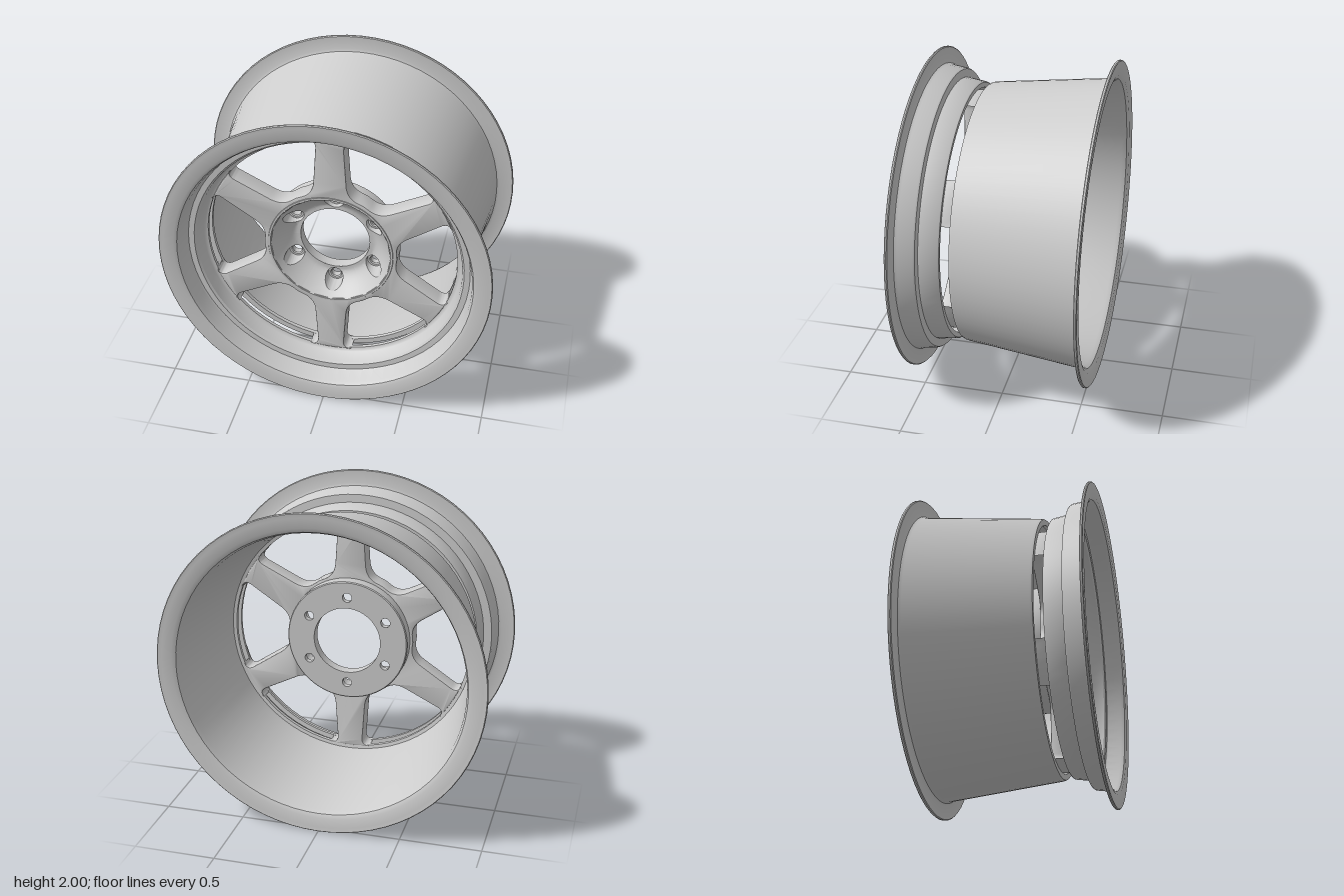
import * as THREE from 'three';
import { toCreasedNormals } from 'three/addons/utils/BufferGeometryUtils.js';
import { ParametricGeometry } from 'three/addons/geometries/ParametricGeometry.js';

const SPOKES = 6, SEG = 72;
const BORE = 0.215, BOWL = 0.37, HUB = 0.388, BOLT_CIRCLE = 0.285;
const HUB_BACK = 0.12, POCKET_FLOOR = 0.165;
const material = new THREE.MeshStandardMaterial({ color: 0xcccccc, side: THREE.DoubleSide });

function add(parent, name, geometry, crease = 0.6) {
  const mesh = new THREE.Mesh(toCreasedNormals(geometry, crease), material);
  mesh.name = name;
  parent.add(mesh);
  return mesh;
}

// Surface of revolution about z from [radius, z] points
function turned(points, seg = SEG) {
  return new THREE.LatheGeometry(points.map(([r, z]) => new THREE.Vector2(r, z)), seg).rotateX(Math.PI / 2);
}

const rad = THREE.MathUtils.degToRad;
const polar = (r, deg) => new THREE.Vector2(r * Math.cos(rad(deg)), r * Math.sin(rad(deg)));

// Star outline: spokes with filleted roots and flared tips
function spokeShape() {
  const shape = new THREE.Shape();
  const toward = (a, b, d) => a.clone().add(b.clone().sub(a).setLength(d));
  const tip = 0.768;
  for (let k = 0; k < SPOKES; k++) {
    const a = 90 + k * 360 / SPOKES;
    const side = s => ({
      mid: polar(0.408, a + s * 30), root: polar(0.412, a + s * 14.5),
      end: polar(tip, a + s * 6), flare: polar(tip, a + s * 10),
    });
    const R = side(-1), L = side(1);
    const line = p => shape.lineTo(p.x, p.y);
    const bend = (c, p) => shape.quadraticCurveTo(c.x, c.y, p.x, p.y);
    if (k === 0) shape.moveTo(R.mid.x, R.mid.y); else line(R.mid);
    line(toward(R.root, R.mid, 0.07));
    bend(R.root, toward(R.root, R.end, 0.08));
    line(toward(R.end, R.root, 0.055));
    bend(R.end, R.flare);
    for (let d = -6; d <= 6; d += 4) line(polar(tip, a + d));
    line(L.flare);
    bend(L.end, toward(L.end, L.root, 0.055));
    line(toward(L.root, L.end, 0.08));
    bend(L.root, toward(L.root, L.mid, 0.07));
  }
  shape.closePath();
  shape.holes.push(new THREE.Path().absarc(0, 0, 0.365, 0, Math.PI * 2, true));
  return shape;
}

// Depth of the dished hub face at a radius
function bowlZ(r) {
  const t = THREE.MathUtils.clamp((r - 0.24) / (BOWL - 0.24), 0, 1);
  return 0.19 + 0.135 * Math.pow(t, 1.5);
}

// One sixth of the dished face, blended from a round pocket edge to the sector border
function dishSector(u, v, target) {
  const phi = u * Math.PI * 2, c = Math.cos(phi), s = Math.sin(phi);
  const m = Math.max(Math.abs(c), Math.abs(s));
  const px = BOLT_CIRCLE + 0.055 * c, py = 0.055 * s;
  const borderR = (BORE + BOWL) / 2 + (c / m) * (BOWL - BORE) / 2;
  const r = THREE.MathUtils.lerp(Math.hypot(px, py), borderR, v);
  const th = THREE.MathUtils.lerp(Math.atan2(py, px), (s / m) * Math.PI / SPOKES, v);
  target.set(r * Math.cos(th), r * Math.sin(th), bowlZ(r));
}

// Pocket wall dropping from the dished face to the flat seat
function pocketWall(u, v, target) {
  const phi = u * Math.PI * 2;
  const rr = THREE.MathUtils.lerp(0.055, 0.048, v);
  const x = BOLT_CIRCLE + rr * Math.cos(phi), y = rr * Math.sin(phi);
  const top = bowlZ(Math.hypot(BOLT_CIRCLE + 0.055 * Math.cos(phi), 0.055 * Math.sin(phi)));
  target.set(x, y, THREE.MathUtils.lerp(top, POCKET_FLOOR, v));
}

export function createModel() {
  const wheel = new THREE.Group();
  wheel.name = 'wheel';
  const body = new THREE.Group();
  body.name = 'wheelBody';
  body.position.y = 1;
  wheel.add(body);

  // Stepped front rim with its flange
  add(body, 'frontRim', turned([
    [0.766, 0.29], [0.797, 0.288], [0.803, 0.295], [0.82, 0.405], [0.87, 0.408], [0.877, 0.418],
    [0.89, 0.505], [0.898, 0.522], [0.915, 0.528], [0.995, 0.527], [1, 0.532], [1, 0.54],
    [0.995, 0.545], [0.975, 0.543], [0.91, 0.541], [0.89, 0.532], [0.878, 0.51], [0.862, 0.425],
    [0.855, 0.418], [0.82, 0.416], [0.808, 0.405], [0.79, 0.325], [0.78, 0.315], [0.766, 0.312],
    [0.766, 0.29],
  ]));

  // Tapered rear barrel with its flange
  add(body, 'rearBarrel', turned([
    [0.766, 0.23], [0.766, 0.205], [0.788, 0.2], [0.872, -0.495], [0.885, -0.525], [0.91, -0.538],
    [0.97, -0.541], [0.995, -0.545], [1, -0.54], [1, -0.53], [0.995, -0.525], [0.915, -0.525],
    [0.898, -0.518], [0.889, -0.5], [0.808, 0.215], [0.802, 0.23], [0.766, 0.23],
  ]));

  // Spokes
  const spokes = new THREE.ExtrudeGeometry(spokeShape(), {
    depth: 0.106, bevelEnabled: true, bevelThickness: 0.008, bevelSize: 0.008,
    bevelOffset: -0.008, bevelSegments: 2, curveSegments: 10,
  });
  add(body, 'spokes', spokes.translate(0, 0, 0.208));

  // Hub: outer wall with lip, bore and rear mounting face
  const hub = new THREE.Group();
  hub.name = 'hub';
  body.add(hub);
  add(hub, 'hubWall', turned([
    [HUB - 0.006, HUB_BACK], [HUB, HUB_BACK + 0.006], [HUB, 0.316], [0.382, 0.325], [BOWL, 0.325],
  ]));
  add(hub, 'hubBore', turned([[BORE, 0.19], [BORE, HUB_BACK]]));
  const face = new THREE.Shape().absarc(0, 0, HUB - 0.006, 0, Math.PI * 2, false);
  face.holes.push(new THREE.Path().absarc(0, 0, BORE, 0, Math.PI * 2, true));
  for (let k = 0; k < SPOKES; k++) {
    const p = polar(BOLT_CIRCLE, 90 + k * 60);
    face.holes.push(new THREE.Path().absarc(p.x, p.y, 0.03, 0, Math.PI * 2, true));
  }
  add(hub, 'mountingFace', new THREE.ShapeGeometry(face, 36).rotateY(Math.PI).translate(0, 0, HUB_BACK));

  // Dished face, bolt pockets and bolt holes
  for (let k = 0; k < SPOKES; k++) {
    const sector = new THREE.Group();
    sector.name = 'boltSector' + (k + 1);
    sector.rotation.z = rad(90 + k * 60);
    hub.add(sector);
    add(sector, 'dishedFace', new ParametricGeometry(dishSector, 48, 8));
    add(sector, 'boltPocket', new ParametricGeometry(pocketWall, 48, 1));
    add(sector, 'boltHole', turned([[0.048, POCKET_FLOOR], [0.036, POCKET_FLOOR], [0.03, 0.158], [0.03, HUB_BACK]], 24)
      .translate(BOLT_CIRCLE, 0, 0));
  }
  return wheel;
}
